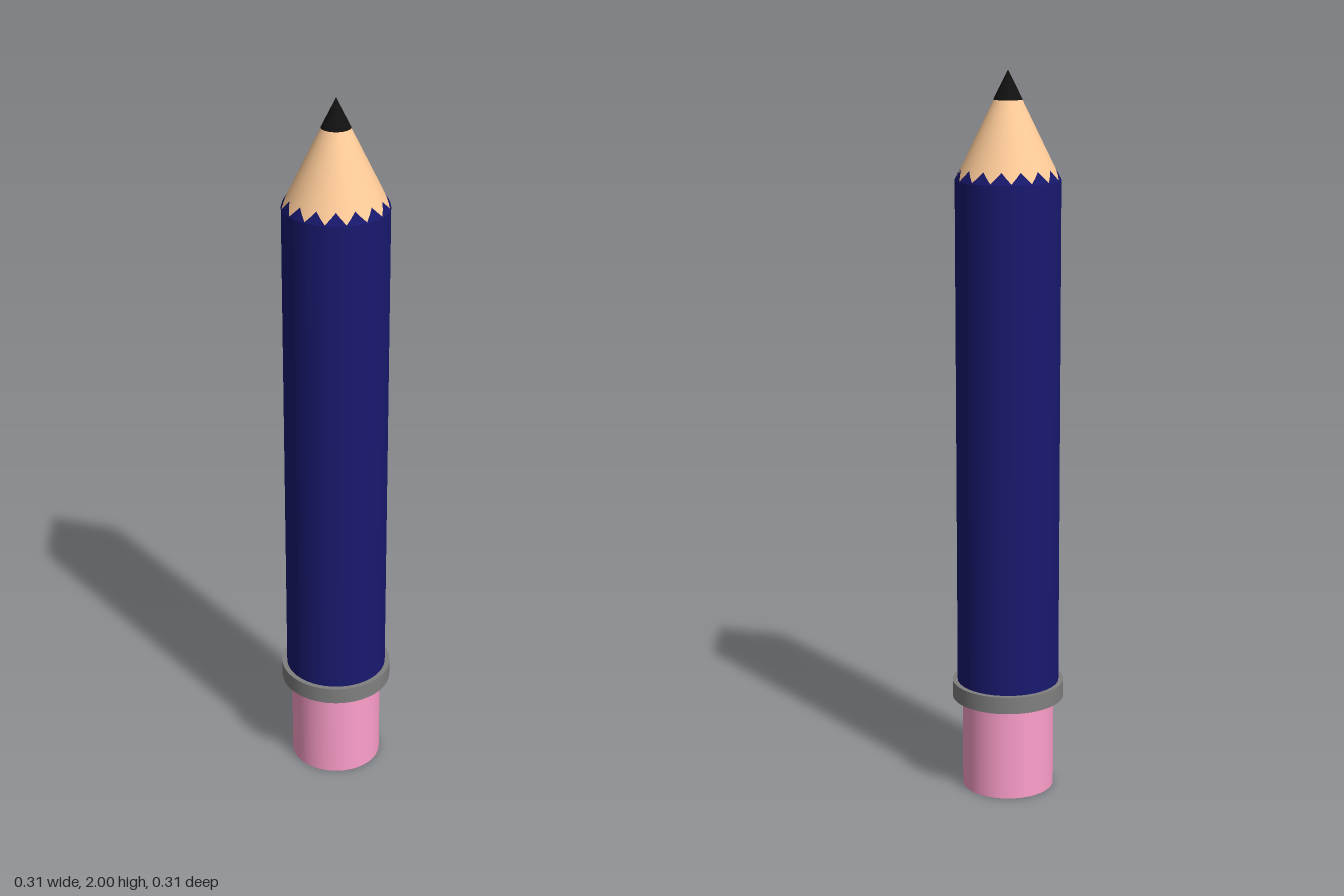
import * as THREE from 'three';

const SEG = 64;
const BODY_R = 0.142, SHOULDER = 1.71, TOP = 2;
const coneRadius = (y) => BODY_R * (TOP - y) / (TOP - SHOULDER);

function part(name, geometry, color, side = THREE.FrontSide) {
  const mesh = new THREE.Mesh(geometry, new THREE.MeshStandardMaterial({ color, side }));
  mesh.name = name;
  return mesh;
}

// Upright round section between two heights
function round(rTop, rBottom, y0, y1, open = false) {
  return new THREE.CylinderGeometry(rTop, rBottom, y1 - y0, SEG, 1, open).translate(0, (y0 + y1) / 2, 0);
}

// Sawtooth edge of the paint, lying on the sharpened cone
function paintTeeth() {
  const low = SHOULDER + 0.003, high = SHOULDER + 0.032, lift = 0.0015;
  const geometry = round(BODY_R, BODY_R, SHOULDER, high, true);
  const pos = geometry.attributes.position;
  for (let i = 0; i <= SEG; i++) {
    const wave = [0, 0.5, 1, 0.5][i % 4]; // 16 teeth, four steps each
    const y = low + (high - low) * wave;
    const a = i / SEG * Math.PI * 2;
    const r = coneRadius(y) + lift;
    pos.setXYZ(i, Math.sin(a) * r, y, Math.cos(a) * r);
  }
  geometry.computeVertexNormals();
  return geometry;
}

export function createModel() {
  const pencil = new THREE.Group();
  pencil.name = 'pencil';
  const blue = 0x191970, leadStart = 1.922;

  pencil.add(
    part('eraser', round(0.128, 0.128, 0, 0.28), 0xffa0cc),
    part('metalBand', round(0.156, 0.156, 0.262, 0.31), 0x808080),
    part('body', round(BODY_R, BODY_R, 0.28, SHOULDER), blue),
    part('paintTeeth', paintTeeth(), blue, THREE.DoubleSide),
    part('sharpenedWood', round(coneRadius(leadStart), BODY_R, SHOULDER, leadStart, true), 0xffcc99),
    part('leadTip', round(0, coneRadius(leadStart) + 0.001, leadStart, TOP), 0x111111)
  );
  return pencil;
}
